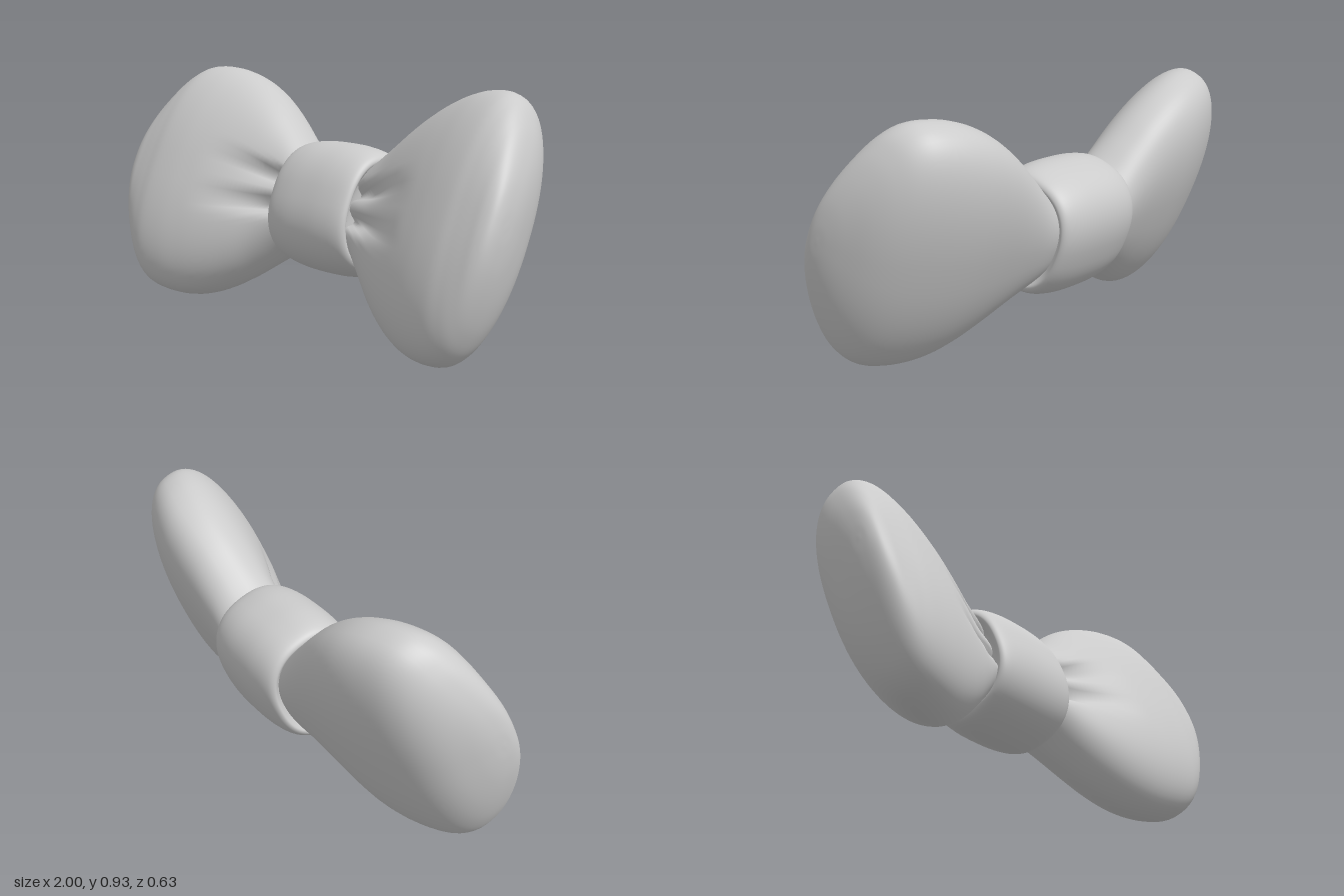
import * as THREE from 'three';
import { mergeVertices } from 'three/addons/utils/BufferGeometryUtils.js';

const material = new THREE.MeshStandardMaterial({ color: 0xcccccc });
const SEGMENTS = 72;

// Skin over superellipse rings along x. Stations are [x, half height, half depth, depth centre].
function loft(stations, steps, power, side = 1, shapeRule = null) {
  const shape = new THREE.CatmullRomCurve3(
    stations.map(([x, h, d]) => new THREE.Vector3(x, h, d)), false, 'centripetal');
  const centre = new THREE.CatmullRomCurve3(
    stations.map(([x, h, d, c]) => new THREE.Vector3(x, h, c)), false, 'centripetal');
  const positions = [], index = [];
  const curve = (t) => Math.sign(t) * Math.abs(t) ** (2 / power);
  const last = stations.length - 1;
  for (let i = 0; i <= steps; i++) {
    const s = shape.getPoint(i / steps), c = centre.getPoint(i / steps).z;
    // the outermost rings close to a point
    const closed = (i === 0 && stations[0][1] === 0) || (i === steps && stations[last][1] === 0);
    for (let j = 0; j < SEGMENTS; j++) {
      const a = (j / SEGMENTS) * Math.PI * 2;
      const y = closed ? 0 : Math.max(s.y, 0) * curve(Math.cos(a));
      let z = closed ? c : c + Math.max(s.z, 0) * curve(Math.sin(a));
      if (shapeRule && !closed) z += shapeRule(s.x, y, Math.sin(a), s.y);
      positions.push(side * s.x, y, z);
    }
  }
  for (let i = 0; i < steps; i++) {
    for (let j = 0; j < SEGMENTS; j++) {
      const k = (j + 1) % SEGMENTS;
      const a = i * SEGMENTS + j, b = i * SEGMENTS + k;
      const c = b + SEGMENTS, d = a + SEGMENTS;
      if (side > 0) index.push(a, b, c, a, c, d);
      else index.push(a, c, b, a, d, c);
    }
  }
  let geometry = new THREE.BufferGeometry();
  geometry.setAttribute('position', new THREE.Float32BufferAttribute(positions, 3));
  geometry.setIndex(index);
  geometry = mergeVertices(geometry, 1e-5);
  geometry.computeVertexNormals();
  return geometry;
}

// Gathered pleats on the front of a wing, fading away from the knot
function pleats(x, y, front, halfHeight) {
  if (front <= 0) return 0;
  const fade = 1 - THREE.MathUtils.smoothstep(x, 0.22, 0.62);
  const spread = 0.6 + x * 1.3;
  const groove = (at, width) => Math.exp(-(((y - at * spread) / (width * spread)) ** 2));
  const hollow = 0.025 * Math.exp(-((y / (halfHeight * 0.6 + 0.01)) ** 2));
  return -front * fade * (0.055 * groove(0.055, 0.028) + 0.06 * groove(-0.07, 0.03) + hollow);
}

export function createModel() {
  const model = new THREE.Group();
  model.name = 'bowTie';
  const tilted = new THREE.Group();
  tilted.name = 'tiltedBow';
  tilted.rotation.x = -0.419;
  model.add(tilted);

  const add = (name, geometry) => {
    const mesh = new THREE.Mesh(geometry, material);
    mesh.name = name;
    tilted.add(mesh);
  };

  // Puffed wings, swept forward toward the tips
  const wing = [
    [0.12, 0.14, 0.13, -0.094], [0.2, 0.195, 0.16, -0.087], [0.3, 0.285, 0.172, -0.07],
    [0.4, 0.37, 0.187, -0.052], [0.5, 0.435, 0.202, -0.036], [0.6, 0.477, 0.213, -0.018],
    [0.7, 0.494, 0.215, 0.006], [0.8, 0.484, 0.204, 0.032], [0.86, 0.445, 0.187, 0.048],
    [0.91, 0.372, 0.165, 0.068], [0.95, 0.28, 0.135, 0.095], [0.983, 0.165, 0.085, 0.13],
    [0.997, 0.07, 0.04, 0.147], [1, 0, 0, 0.152],
  ];
  add('leftWing', loft(wing, 72, 2.3, 1, pleats));
  add('rightWing', loft(wing, 72, 2.3, -1, pleats));

  // Barrel shaped knot with rolled edges
  const rim = [
    [0.15, 0], [0.17, 0.6], [0.197, 0.72], [0.212, 0.8],
    [0.204, 0.87], [0.175, 0.93], [0.1, 0.985],
  ];
  const ring = ([x, s]) => [x, 0.256 * s, 0.22 * s, -0.094];
  const knot = [
    ...rim.map(([x, s]) => ring([-x, s])),
    ring([0, 1]),
    ...rim.slice().reverse().map(ring),
  ];
  add('knot', loft(knot, 84, 2.35));

  // Rest on the ground, centred
  model.updateMatrixWorld(true);
  const box = new THREE.Box3().setFromObject(model, true);
  tilted.position.y = -box.min.y;
  tilted.position.z = -(box.min.z + box.max.z) / 2;
  return model;
}
